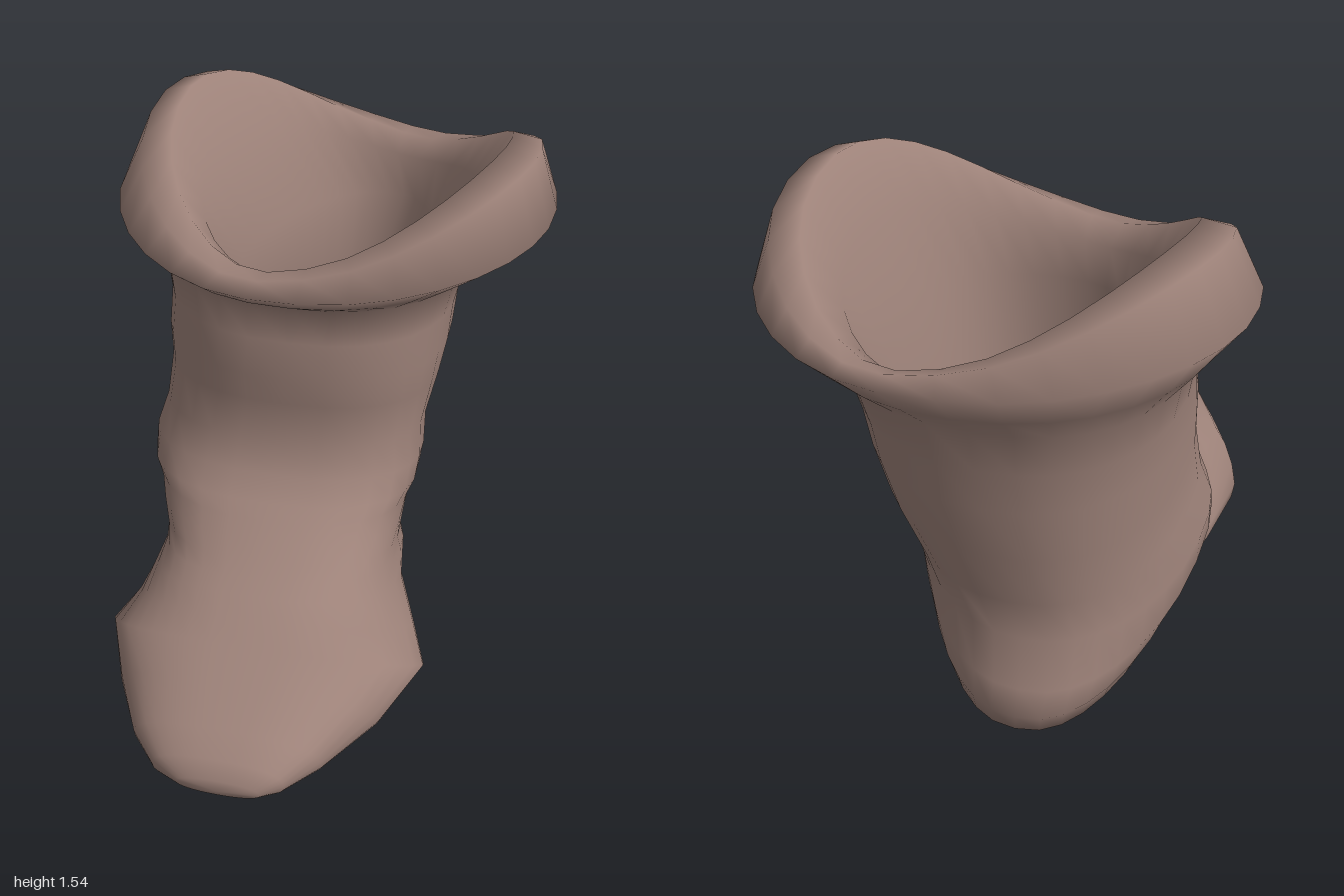
import * as THREE from 'three';

const SIDES = 32;

// A cross-section of the boot: front point and back point (z, y), right and left extent in x,
// squareness of the loop, taper (positive = wider at the front point), sideways shift of the
// back point, lift of the two sides.
const ring = (fz, fy, bz, by, x0, x1, power = 2.4, taper = 0, shift = 0, lift = 0) =>
  ({ fz, fy, bz, by, x0, x1, power, taper, shift, lift });

// inside of the shaft, from the floor up
const lining = [
  ring(-0.25, 0.3, -0.6, 0.27, -0.2, 0.08, 2, 0.3, -0.05),
  ring(-0.05, 0.4, -0.76, 0.36, -0.35, 0.15, 2.2, 0.35, -0.03),
  ring(-0.03, 0.8, -0.8, 0.8, -0.33, 0.21, 2.2, 0.25, 0.08),
  ring(-0.02, 1.08, -0.86, 1.08, -0.32, 0.25, 2.3, 0.2, 0.12),
];
// flared, saddle-shaped collar, over the crest and down the outside
const cuff = [
  ring(0.0, 1.2, -0.88, 1.22, -0.42, 0.4, 2.1, 0.05, 0.04, 0.14),
  ring(0.06, 1.25, -0.93, 1.27, -0.5, 0.52, 2.2, 0, 0, 0.28),
  ring(0.11, 1.245, -0.97, 1.28, -0.59, 0.61, 2.2, 0, 0, 0.25),
  ring(0.15, 1.21, -1.0, 1.25, -0.67, 0.67, 2.2, 0, 0, 0.08),
  ring(0.1, 1.17, -0.97, 1.19, -0.59, 0.54, 2.2, 0, 0, 0.03),
];
// shaft, turning forward at the ankle
const shaft = [
  ring(0.03, 1.13, -0.92, 1.13, -0.52, 0.42, 2.4, 0.04),
  ring(0.03, 1.01, -0.9, 1.0, -0.5, 0.39, 2.4, 0.06),
  ring(0.06, 0.9, -0.885, 0.87, -0.5, 0.38, 2.4, 0.08),
  ring(0.03, 0.79, -0.87, 0.71, -0.49, 0.36, 2.4, 0.12, -0.02),
  ring(0.05, 0.66, -0.84, 0.54, -0.49, 0.33, 2.4, 0.18, -0.04),
  ring(0.09, 0.56, -0.84, 0.42, -0.51, 0.34, 2.3, 0.22, -0.07),
];
// foot, from the narrow heel round to the toe
const foot = [
  ring(0.17, 0.51, -0.9, 0.29, -0.5, 0.33, 2.3, 0.25, -0.08),
  ring(0.22, 0.48, -0.925, 0.21, -0.47, 0.31, 2.3, 0.25, -0.08),
  ring(0.28, 0.445, -0.88, 0.12, -0.45, 0.3, 2.3, 0.25, -0.07),
  ring(0.34, 0.42, -0.69, 0.035, -0.43, 0.3, 2.4, 0.15, -0.05),
  ring(0.4, 0.4, -0.48, 0.07, -0.44, 0.3, 2.4, 0.02),
  ring(0.46, 0.385, -0.25, 0.03, -0.46, 0.31, 2.5, -0.1),
  ring(0.53, 0.36, 0.0, 0.0, -0.48, 0.37, 2.6, -0.18),
  ring(0.62, 0.335, 0.25, 0.04, -0.51, 0.425, 2.6, -0.22),
  ring(0.74, 0.31, 0.55, 0.02, -0.42, 0.34, 2.6, -0.18),
  ring(0.88, 0.265, 0.8, 0.05, -0.32, 0.23, 2.5, -0.08),
  ring(0.96, 0.23, 0.94, 0.09, -0.23, 0.15, 2.4),
  ring(0.99, 0.18, 0.985, 0.12, -0.15, 0.09, 2.2),
];

function addRing(points, r) {
  const soft = (v) => Math.sign(v) * Math.abs(v) ** (2 / r.power);
  for (let i = 0; i < SIDES; i++) {
    const a = (i / SIDES) * Math.PI * 2;
    const c = soft(Math.cos(a)), s = soft(Math.sin(a));
    const t = (1 + c) / 2;
    // the side peaks are turned slightly: left one forward, right one back
    const rise = r.lift * Math.abs(Math.sin(a + 0.3)) ** 1.7;
    points.push(
      (r.x0 + r.x1) / 2 + ((r.x1 - r.x0) / 2) * s * (1 + r.taper * c) + r.shift * (1 - t),
      r.by + (r.fy - r.by) * t + rise,
      r.bz + (r.fz - r.bz) * t);
  }
}

// triangles joining ring j to ring j + 1
function band(j) {
  const out = [];
  for (let i = 0; i < SIDES; i++) {
    const k = (i + 1) % SIDES;
    const a = j * SIDES + i, b = j * SIDES + k;
    out.push(a, a + SIDES, b + SIDES, a, b + SIDES, b);
  }
  return out;
}

export function createModel() {
  const leather = new THREE.MeshStandardMaterial({ color: 0x9c8178 });
  leather.name = 'brown leather';

  const parts = { lining, cuff, shaft, foot };
  const rings = Object.values(parts).flat();
  const points = [];
  rings.forEach((r) => addRing(points, r));
  const floor = rings.length * SIDES, toe = floor + 1;
  points.push(-0.08, 0.28, -0.42, -0.03, 0.15, 1.0);

  // one index list per part; all parts share the same points and normals
  const indices = {};
  let j = 0;
  for (const [name, list] of Object.entries(parts)) {
    indices[name] = [];
    list.forEach(() => {
      if (j < rings.length - 1) indices[name].push(...band(j));
      j++;
    });
  }
  const last = (rings.length - 1) * SIDES;
  for (let i = 0; i < SIDES; i++) {
    const k = (i + 1) % SIDES;
    indices.lining.push(floor, i, k);
    indices.foot.push(last + i, toe, last + k);
  }

  const whole = new THREE.BufferGeometry();
  whole.setAttribute('position', new THREE.Float32BufferAttribute(points, 3));
  whole.setIndex(Object.values(indices).flat());
  whole.computeVertexNormals();

  const boot = new THREE.Group();
  boot.name = 'boot';
  for (const [name, index] of Object.entries(indices)) {
    const geometry = new THREE.BufferGeometry();
    geometry.setAttribute('position', whole.getAttribute('position'));
    geometry.setAttribute('normal', whole.getAttribute('normal'));
    geometry.setIndex(index);
    const mesh = new THREE.Mesh(geometry, leather);
    mesh.name = name;
    boot.add(mesh);
  }
  return boot;
}
